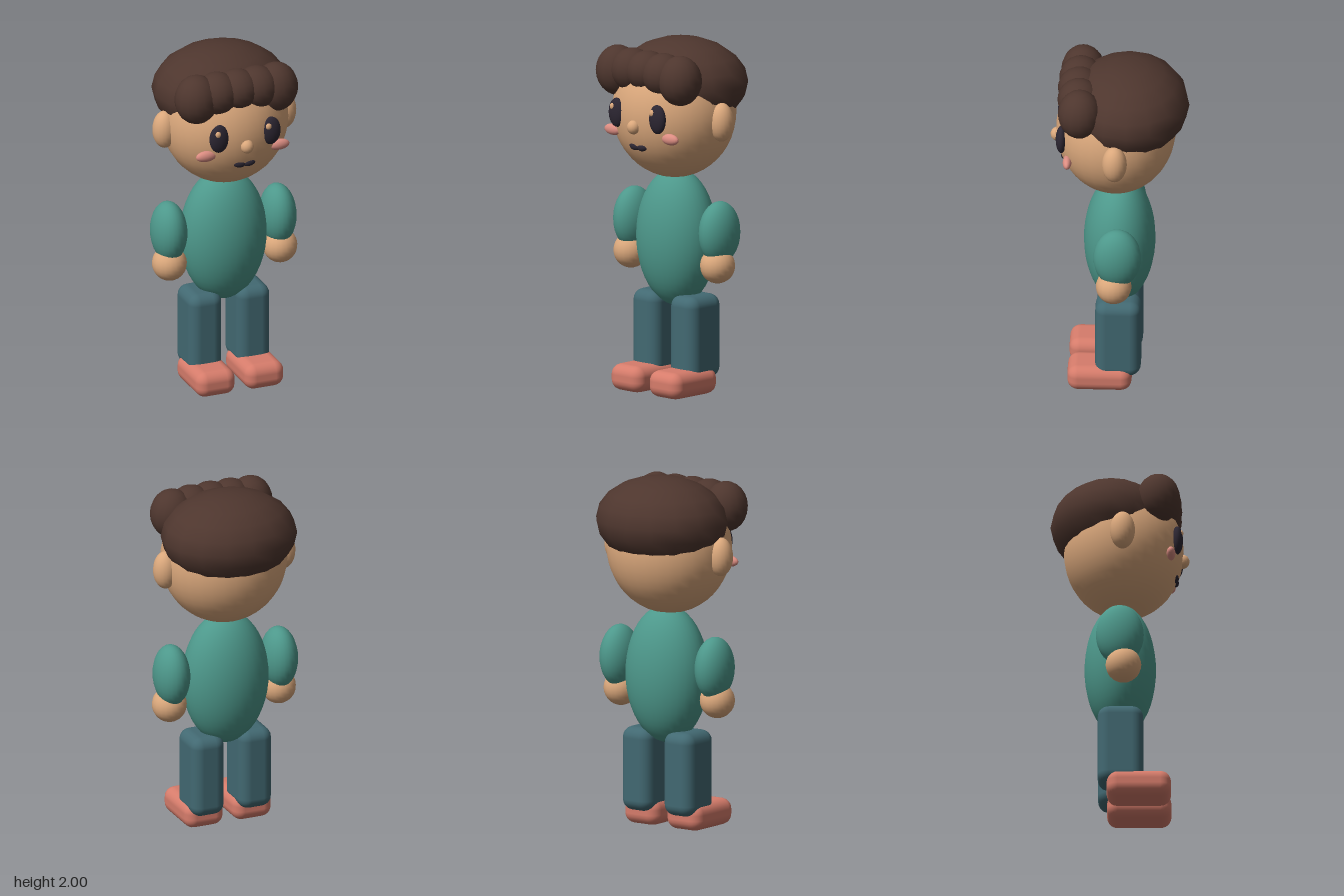
import * as THREE from 'three';
import { RoundedBoxGeometry } from 'three/addons/geometries/RoundedBoxGeometry.js';

const material = (name, color) => {
  const m = new THREE.MeshStandardMaterial({ color });
  m.name = name;
  return m;
};

export function createModel() {
  const model = new THREE.Group();
  model.name = 'boy';

  const skin = material('skin', 0xdba87c);
  const hair = material('hairBrown', 0x4e362e);
  const teal = material('shirtTeal', 0x4d988b);
  const denim = material('trouserBlue', 0x426972);
  const coral = material('shoeCoral', 0xd67c6b);
  const dark = material('faceDark', 0x2c2632);
  const pink = material('cheekPink', 0xdc8d82);

  const add = (name, geometry, mat, pos) => {
    const mesh = new THREE.Mesh(geometry, mat);
    mesh.name = name;
    mesh.position.set(...pos);
    model.add(mesh);
    return mesh;
  };
  // Ellipsoid given by its centre and three radii
  const blob = (name, mat, pos, [rx, ry, rz], w = 24, h = 16) =>
    add(name, new THREE.SphereGeometry(1, w, h).scale(rx, ry, rz), mat, pos);
  const box = (name, mat, pos, [w, h, d], radius) =>
    add(name, new RoundedBoxGeometry(w, h, d, 3, radius), mat, pos);

  // Body and head
  blob('torso', teal, [0, 0.87, 0], [0.25, 0.39, 0.2], 32, 24);
  blob('head', skin, [0, 1.59, 0.02], [0.36, 0.375, 0.335], 32, 24);
  blob('nose', skin, [0, 1.54, 0.35], [0.038, 0.04, 0.037], 16, 12);

  // Hair cap, sunk into the head and shifted back
  blob('hairCap', hair, [0, 1.75, -0.05], [0.39, 0.25, 0.34], 16, 10);

  // Row of five curls over the forehead, larger at the ends
  for (let i = -2; i <= 2; i++) {
    const k = Math.abs(i);
    const ry = [0.116, 0.122, 0.142][k];
    blob('fringeCurl', hair, [-0.01 + i * 0.12, 1.957 - ry, [0.225, 0.222, 0.215][k]],
      [0.125, ry, 0.122], 16, 12);
  }

  // Mirrored parts
  for (const [side, s] of [['left', 1], ['right', -1]]) {
    blob(side + 'Ear', skin, [s * 0.36, 1.57, 0.015], [0.07, 0.11, 0.07], 20, 14);
    blob(side + 'Eye', dark, [s * 0.156, 1.6, 0.32], [0.058, 0.083, 0.032], 20, 14);
    blob(side + 'EyeHighlight', skin, [s * 0.153 - 0.018, 1.635, 0.34], [0.018, 0.02, 0.014], 12, 8);
    blob(side + 'Cheek', pink, [s * 0.22, 1.49, 0.285], [0.062, 0.032, 0.025], 20, 12);
    const lip = blob(side + 'Lip', dark, [s * 0.029, 1.422, 0.31], [0.037, 0.021, 0.018], 16, 10);
    lip.rotation.z = s * 0.12;
    blob(side + 'Arm', teal, [s * 0.33, 0.935, 0], [0.1, 0.178, 0.134]);
    blob(side + 'Hand', skin, [s * 0.334, 0.75, 0.02], [0.098, 0.1, 0.1], 20, 14);
    box(side + 'Leg', denim, [s * 0.145, 0.322, 0.002], [0.2, 0.476, 0.255], 0.062);
    box(side + 'Shoe', coral, [s * 0.147, 0.075, 0.105], [0.236, 0.15, 0.36], 0.06);
  }

  return model;
}
